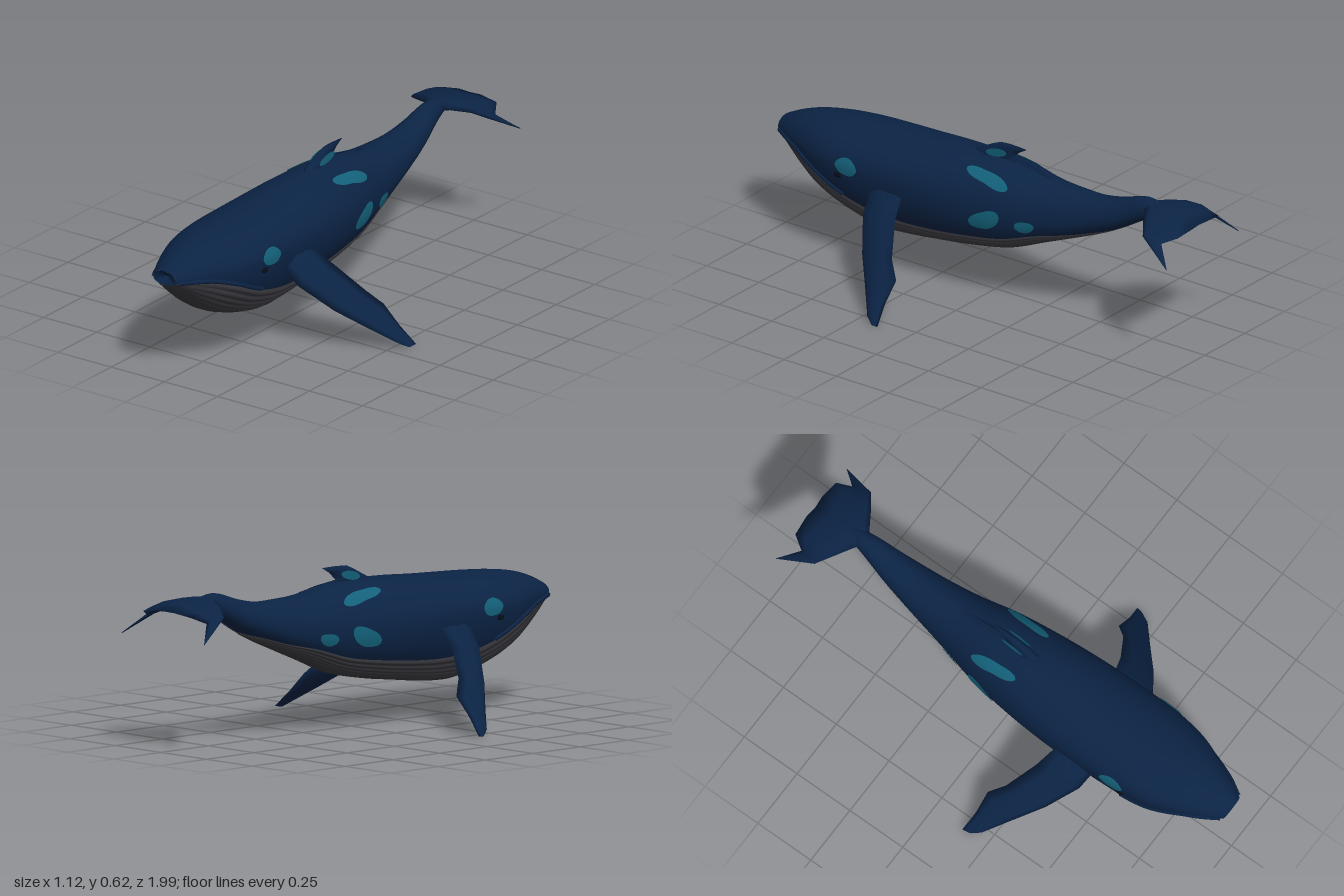
import * as THREE from 'three';

const mat = (name, color, side = THREE.FrontSide) => {
  const m = new THREE.MeshStandardMaterial({ color, side });
  m.name = name;
  return m;
};

// Body stations, tail to nose: z, half width, top, widest height, bottom, belly seam
const STATIONS = [
  [-0.80, 0.025, 0.578, 0.555, 0.535, 0.535],
  [-0.72, 0.042, 0.587, 0.540, 0.495, 0.495],
  [-0.60, 0.065, 0.552, 0.480, 0.425, 0.425],
  [-0.50, 0.082, 0.532, 0.445, 0.378, 0.395],
  [-0.40, 0.098, 0.531, 0.415, 0.337, 0.365],
  [-0.27, 0.122, 0.537, 0.395, 0.285, 0.335],
  [-0.12, 0.155, 0.562, 0.385, 0.225, 0.290],
  [0.05, 0.178, 0.567, 0.385, 0.190, 0.265],
  [0.20, 0.190, 0.563, 0.390, 0.170, 0.250],
  [0.35, 0.195, 0.553, 0.400, 0.152, 0.245],
  [0.48, 0.195, 0.547, 0.405, 0.146, 0.258],
  [0.62, 0.190, 0.540, 0.410, 0.175, 0.295],
  [0.75, 0.168, 0.530, 0.410, 0.222, 0.355],
  [0.86, 0.125, 0.513, 0.415, 0.285, 0.395],
  [0.94, 0.088, 0.487, 0.418, 0.350, 0.410],
  [1.00, 0.052, 0.458, 0.422, 0.402, 0.415],
];
const Z0 = -0.8, Z1 = 1;
const spline = new THREE.CubicInterpolant(
  STATIONS.map((s) => s[0]), STATIONS.flatMap((s) => s.slice(1)), 5, new Float32Array(5));

function station(z) {
  const [w, top, mid, bot, seam] = spline.evaluate(z);
  const c = THREE.MathUtils.clamp((seam - mid) / (mid - bot), -1, 1);
  return { w, top, mid, bot, seamAngle: Math.acos(c) };
}

// Point on the body: angle 0 is the back, positive angles go towards +x
function skin(z, a, swell = 1, lift = 0) {
  const s = station(z), c = Math.cos(a);
  const h = c >= 0 ? s.top - s.mid : s.mid - s.bot;
  const n = new THREE.Vector3(Math.sin(a) / s.w, c / h, 0).normalize().multiplyScalar(lift);
  return new THREE.Vector3(s.w * Math.sin(a) * swell, s.mid + h * c * swell, z).add(n);
}

// Surface from a rule fn(u, v) with u and v in 0..1
function grid(fn, nu, nv) {
  const pos = [], idx = [];
  for (let i = 0; i <= nu; i++)
    for (let j = 0; j <= nv; j++) pos.push(...fn(i / nu, j / nv).toArray());
  for (let i = 0; i < nu; i++)
    for (let j = 0; j < nv; j++) {
      const a = i * (nv + 1) + j, b = a + nv + 1;
      idx.push(a, b, a + 1, b, b + 1, a + 1);
    }
  const g = new THREE.BufferGeometry();
  g.setAttribute('position', new THREE.Float32BufferAttribute(pos, 3));
  g.setIndex(idx);
  g.computeVertexNormals();
  return g;
}

// Closed fin through sections { lead, trail, t }: a lens of half thickness t along "up"
function fin(sections, up) {
  const rings = sections.map(({ lead, trail, t }) => {
    const L = new THREE.Vector3(...lead), T = new THREE.Vector3(...trail);
    const at = (f, k) => L.clone().lerp(T, f).addScaledVector(up, k * t);
    return [at(0, 0), at(0.12, 0.7), at(0.4, 1), at(0.75, 0.55), at(1, 0),
      at(0.75, -0.55), at(0.4, -1), at(0.12, -0.7)];
  });
  const n = 8, idx = [], pts = rings.flat(), last = (rings.length - 1) * n;
  for (let i = 0; i < rings.length - 1; i++)
    for (let j = 0; j < n; j++) {
      const a = i * n + j, b = i * n + (j + 1) % n;
      idx.push(a, b, a + n, b, b + n, a + n);
    }
  for (let j = 1; j < n - 1; j++) idx.push(0, j + 1, j, last, last + j, last + j + 1);
  // Turn the faces outwards if the enclosed volume is negative
  let vol = 0;
  for (let i = 0; i < idx.length; i += 3)
    vol += pts[idx[i]].dot(pts[idx[i + 1]].clone().cross(pts[idx[i + 2]]));
  if (vol < 0) idx.reverse();
  const g = new THREE.BufferGeometry().setFromPoints(pts);
  g.setIndex(idx);
  g.computeVertexNormals();
  return g;
}

export function createModel() {
  const whale = new THREE.Group();
  whale.name = 'whale';
  const navy = mat('navy skin', 0x0b2344);
  const grey = mat('grey belly', 0x3a3a40);
  const teal = mat('teal patches', 0x13617a, THREE.DoubleSide);
  const dark = mat('dark eye', 0x060d18);
  const add = (name, geo, material) => {
    const m = new THREE.Mesh(geo, material);
    m.name = name;
    whale.add(m);
    return m;
  };
  const zAt = (u) => Z0 + (Z1 - Z0) * u;

  // Back and flanks
  add('back', grid((u, v) => {
    const z = zAt(u);
    return skin(z, (2 * v - 1) * station(z).seamAngle);
  }, 72, 48), navy);

  // Pleated throat and belly
  const pleats = 14;
  add('belly', grid((u, v) => {
    const z = zAt(u), s = station(z).seamAngle;
    const swell = 1 + 0.035 * Math.abs(Math.sin(pleats * Math.PI * v)) * Math.min(1, (1 - u) * 8);
    return skin(z, s + v * 2 * (Math.PI - s), swell);
  }, 72, pleats * 6), grey);

  // Blunt, slightly hollow snout
  add('snout', grid((u, v) => {
    const p = skin(Z1, (1 - v) * 2 * Math.PI), c = new THREE.Vector3(0, 0.43, 0.975);
    return c.lerp(p, u);
  }, 2, 32), navy);

  // Dorsal fin with a low ridge behind it
  const side = new THREE.Vector3(1, 0, 0);
  add('dorsalFin', fin([
    { lead: [0, 0.545, 0.14], trail: [0, 0.545, -0.12], t: 0.028 },
    { lead: [0, 0.575, 0.08], trail: [0, 0.575, -0.08], t: 0.022 },
    { lead: [0, 0.605, 0.02], trail: [0, 0.605, -0.115], t: 0.016 },
    { lead: [0, 0.623, -0.02], trail: [0, 0.625, -0.15], t: 0.008 },
  ], side), navy);
  add('dorsalRidge', fin([
    { lead: [0, 0.53, -0.05], trail: [0, 0.52, -0.28], t: 0.025 },
    { lead: [0, 0.575, -0.05], trail: [0, 0.545, -0.27], t: 0.01 },
  ], side), navy);

  // Tail flukes, one sweep from tip to tip
  const half = [
    { lead: [0.225, 0.44, -0.985], trail: [0.226, 0.438, -0.99], t: 0.002 },
    { lead: [0.18, 0.522, -0.84], trail: [0.162, 0.505, -0.915], t: 0.01 },
    { lead: [0.12, 0.548, -0.795], trail: [0.13, 0.53, -0.968], t: 0.017 },
    { lead: [0.05, 0.56, -0.75], trail: [0.05, 0.54, -0.975], t: 0.024 },
  ];
  const flip = ([x, y, z]) => [-x, y, z];
  const mirrored = half.map((s) => ({ lead: flip(s.lead), trail: flip(s.trail), t: s.t })).reverse();
  const middle = { lead: [0, 0.56, -0.71], trail: [0, 0.54, -0.97], t: 0.028 };
  add('tailFlukes', fin([...half, middle, ...mirrored], new THREE.Vector3(0, 1, 0)), navy);

  for (const s of [1, -1]) {
    const label = s > 0 ? 'left' : 'right';

    // Pectoral flipper
    const flipper = [
      [[0.15, 0.36, 0.48], [0.15, 0.40, 0.32], 0.03],
      [[0.235, 0.27, 0.455], [0.27, 0.31, 0.275], 0.028],
      [[0.345, 0.17, 0.375], [0.375, 0.205, 0.21], 0.022],
      [[0.45, 0.085, 0.28], [0.418, 0.145, 0.157], 0.015],
      [[0.53, 0.025, 0.21], [0.49, 0.075, 0.155], 0.009],
      [[0.55, 0.004, 0.175], [0.558, 0.008, 0.14], 0.003],
    ].map(([lead, trail, t]) => ({
      lead: s > 0 ? lead : flip(lead), trail: s > 0 ? trail : flip(trail), t,
    }));
    add(label + 'Flipper', fin(flipper, new THREE.Vector3(s * 0.68, 0.7, 0.2).normalize()), navy);

    // Lip along the mouth line
    const lip = [];
    for (let z = 0.6; z < 1; z += 0.065) lip.push(skin(z, s * (station(z).seamAngle - 0.03)));
    add(label + 'Lip', new THREE.TubeGeometry(new THREE.CatmullRomCurve3(lip), 24, 0.009, 6), navy);

    // Eye
    const eye = add(label + 'Eye', new THREE.SphereGeometry(0.014, 12, 8), dark);
    eye.position.copy(skin(0.61, s * 1.7));
    eye.scale.set(0.6, 0.8, 1.3);

    // Skin patches: centre z, centre angle, z radius, angle radius, waist, tilt
    [
      [0.57, 1.44, 0.052, 0.24, 0.05, 0],
      [-0.05, 0.74, 0.10, 0.24, 0.2, -0.12],
      [-0.07, 1.66, 0.066, 0.25, 0.08, 0.1],
      [-0.235, 1.74, 0.04, 0.22, 0.06, 0],
    ].forEach(([z, a, rz, ra, waist, tilt], i) => {
      add(label + 'Patch' + (i + 1), grid((u, v) => {
        const th = v * 2 * Math.PI;
        const r = u * (1 - waist + waist * Math.cos(2 * th) + 0.06 * Math.sin(3 * th + i));
        const dz = r * Math.cos(th);
        return skin(z + rz * dz, s * (a + ra * r * Math.sin(th) + tilt * dz), 1, 0.004);
      }, 5, 32), teal);
    });

    // Patch on the dorsal fin
    const spot = add(label + 'FinPatch', new THREE.CircleGeometry(1, 20), teal);
    spot.scale.set(0.05, 0.017, 1);
    spot.rotation.y = s * Math.PI / 2;
    spot.rotation.z = s * 0.2;
    spot.position.set(s * 0.0235, 0.587, -0.02);
  }
  return whale;
}
